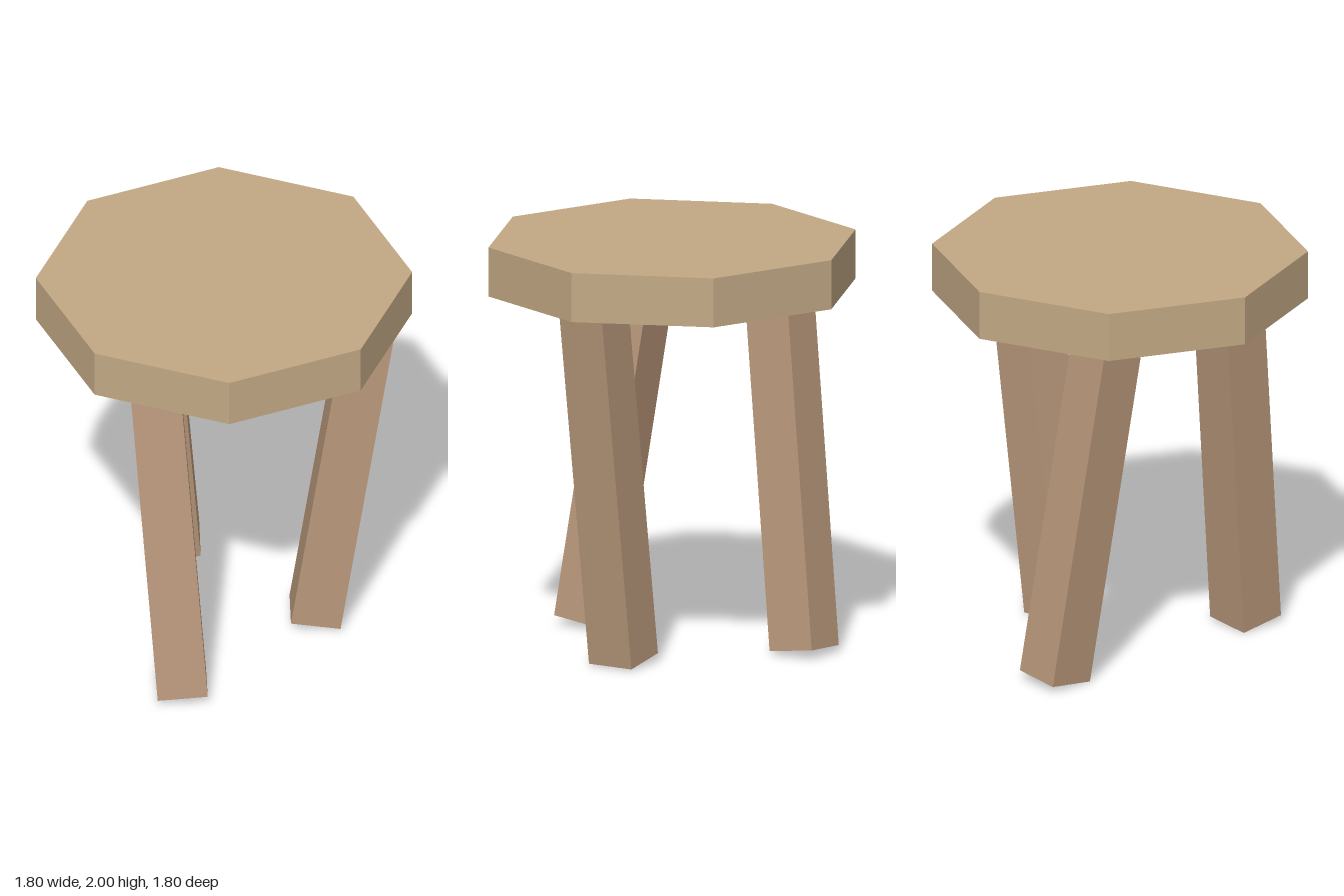
import * as THREE from 'three';

export function createModel() {
  const stool = new THREE.Group();
  stool.name = 'stool';
  const seatMaterial = new THREE.MeshStandardMaterial({ color: 0xc2a884, flatShading: true });
  const legMaterial = new THREE.MeshStandardMaterial({ color: 0xb8977a, flatShading: true });

  // Octagonal seat with corners on the axes
  const seat = new THREE.Mesh(new THREE.CylinderGeometry(0.9, 0.9, 0.24, 8), seatMaterial);
  seat.name = 'seat';
  seat.position.y = 1.88;
  stool.add(seat);

  // Three square legs around the seat, each leaning 0.15 rad
  const legGeometry = new THREE.BoxGeometry(0.24, 1.8, 0.24);
  const radius = 0.57, lean = 0.15;
  ['leftLeg', 'frontRightLeg', 'backRightLeg'].forEach((name, i) => {
    const a = (i * Math.PI * 2) / 3;
    const leg = new THREE.Mesh(legGeometry, legMaterial);
    leg.name = name;
    leg.position.set(Math.cos(a) * radius, 0.915, Math.sin(a) * radius);
    leg.rotation.set(-Math.sin(a) * lean, 0, -Math.cos(a) * lean);
    stool.add(leg);
  });

  return stool;
}
